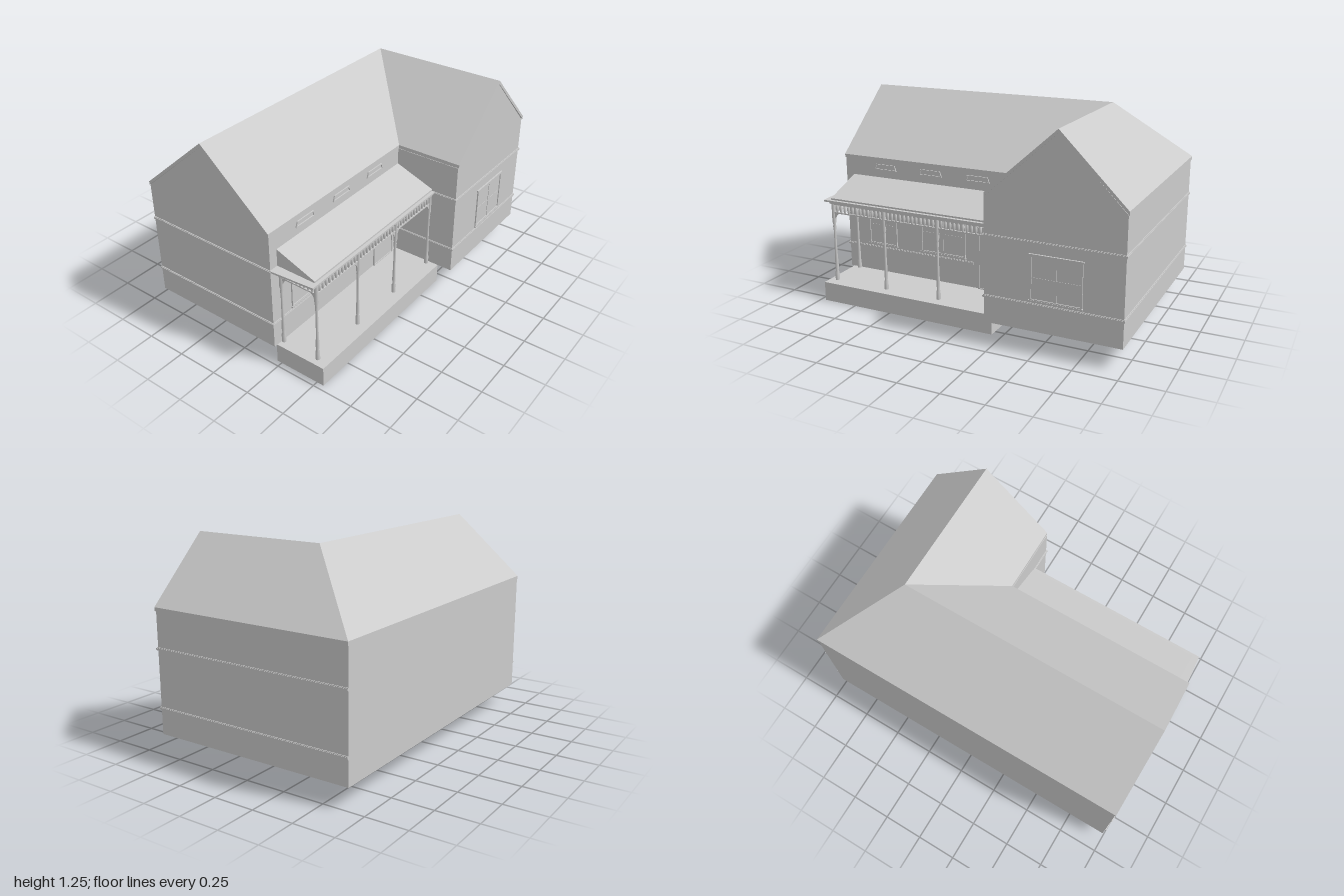
import * as THREE from 'three';

export function createModel() {
  const house = new THREE.Group();
  house.name = 'house';
  const mat = new THREE.MeshStandardMaterial({ color: 0xcccccc, side: THREE.DoubleSide });

  const add = (name, geo, parent = house) => {
    const mesh = new THREE.Mesh(geo, mat);
    mesh.name = name;
    parent.add(mesh);
    return mesh;
  };
  // Box given by its minimum and maximum corners
  const box = (name, x0, y0, z0, x1, y1, z1, parent) =>
    add(name, new THREE.BoxGeometry(x1 - x0, y1 - y0, z1 - z0)
      .translate((x0 + x1) / 2, (y0 + y1) / 2, (z0 + z1) / 2), parent);
  const shapeOf = (pts) => new THREE.Shape(pts.map(([x, y]) => new THREE.Vector2(x, y)));
  const extrude = (shape, depth) =>
    new THREE.ExtrudeGeometry(shape, { depth, bevelEnabled: false, curveSegments: 8 });
  // Plan outline in (x, z) raised from y0 to y1
  const plan = (name, pts, y0, y1) =>
    add(name, extrude(shapeOf(pts.map(([x, z]) => [x, -z])), y1 - y0)
      .rotateX(-Math.PI / 2).translate(0, y0, 0));
  // Four-cornered slab, corners counter-clockwise from above, thickened downward
  const slab = (name, top, t) => {
    const low = top.map(([x, y, z]) => [x, y - t, z]);
    const faces = [top, [...low].reverse()];
    top.forEach((p, i) => {
      const j = (i + 1) % 4;
      faces.push([low[i], low[j], top[j], p]);
    });
    const pos = faces.flatMap(([a, b, c, d]) => [a, b, c, a, c, d]).flat();
    const geo = new THREE.BufferGeometry();
    geo.setAttribute('position', new THREE.Float32BufferAttribute(pos, 3));
    geo.computeVertexNormals();
    return add(name, geo);
  };

  // Main dimensions
  const L = -0.648, W = 0.225, R = 0.638;
  const F = 0.99, B = -0.987, N = -0.187;
  const ridgeX = -0.21, ridgeZ = -0.61, base = 0.12, eave = 0.867, ridge = 1.246, t = 0.022;

  // L-shaped walls and the two gables
  plan('walls', [[L, F], [W, F], [W, N], [R, N], [R, B], [L, B]], base, eave - t);
  add('frontGable', extrude(shapeOf([[L, eave - t], [W, eave - t], [ridgeX, ridge - t]]), 0.02)
    .translate(0, 0, F - 0.02));
  add('sideGable', extrude(shapeOf([[-N, eave - t], [-B, eave - t], [-ridgeZ, ridge - t]]), 0.02)
    .rotateY(Math.PI / 2).translate(R - 0.02, 0, 0));

  // Mitred roof planes
  const x0 = -0.65, x1 = 0.228, x2 = 0.643, z0 = -0.993, z1 = 0.995, zn = -0.19;
  const peak = [ridgeX, ridge, ridgeZ];
  const valley = [x1, eave, zn], hip = [x0, eave, z0];
  slab('mainRoofRight', [[x0, eave, z1], [ridgeX, ridge, z1], peak, hip], t);
  slab('mainRoofLeft', [[ridgeX, ridge, z1], [x1, eave, z1], valley, peak], t);
  slab('wingRoofFront', [peak, valley, [x2, eave, zn], [x2, ridge, ridgeZ]], t);
  slab('wingRoofBack', [hip, peak, [x2, ridge, ridgeZ], [x2, eave, z0]], t);

  // Horizontal trim bands, each a slim board with a thinner lip
  const p = 0.008;
  for (const [y, name] of [[0.277, 'lowerBand'], [0.628, 'upperBand']]) {
    for (const [h, e] of [[0.009, p * 0.6], [0.0045, p]]) {
      const run = (a, b, c, d) => box(name, a, y - h, b, c, y + h, d);
      run(L, F, W + e, F + e);
      run(W, name === 'lowerBand' ? 0.09 : N, W + e, F + e);
      run(W, N, R + e, N + e);
      run(R, B - e, R + e, N + e);
      run(L, B - e, R + e, B);
    }
  }

  // Porch floor, ceiling with cornice, and lean-to roof
  box('porchFloor', 0.22, 0, N, 0.545, base, 0.968);
  plan('porchCornice', [[W, 0.995], [0.495, 0.975], [0.495, N], [W, N]], 0.627, 0.638);
  box('porchFascia', 0.462, 0.615, N, 0.485, 0.628, 0.94);
  box('porchFascia', W, 0.615, 0.915, 0.485, 0.628, 0.94);
  add('porchRoof', extrude(shapeOf([[W, 0.637], [0.475, 0.637], [0.475, 0.648], [W, 0.742]]), 0.935 - N)
    .translate(0, 0, N));

  // Turned posts
  const postProfile = [[0.013, 0.12], [0.013, 0.17], [0.008, 0.18], [0.011, 0.21], [0.008, 0.30],
    [0.007, 0.44], [0.010, 0.47], [0.007, 0.48], [0.012, 0.50], [0.012, 0.62]]
    .map(([r, y]) => new THREE.Vector2(r, y));
  const postX = 0.473, postZ = [0.922, 0.56, 0.197, -0.167];
  const post = (x, z) => add('porchPost', new THREE.LatheGeometry(postProfile, 10).translate(x, 0, z));
  postZ.forEach((z) => post(postX, z));
  post(0.235, postZ[0]);

  // Spindle frieze with corner brackets between two posts
  const bracketShape = new THREE.Shape();
  bracketShape.moveTo(0, 0);
  bracketShape.lineTo(0.034, 0);
  bracketShape.quadraticCurveTo(0.008, -0.008, 0, -0.045);
  bracketShape.closePath();
  const frieze = (x, z, length, turn) => {
    const g = new THREE.Group();
    g.name = 'porchFrieze';
    box('friezeRail', 0, 0.556, -0.006, length, 0.564, 0.006, g);
    box('friezeTopRail', 0, 0.61, -0.006, length, 0.62, 0.006, g);
    const n = Math.round(length / 0.027);
    for (let i = 1; i < n; i++) {
      const s = add('friezeSpindle', new THREE.LatheGeometry([[0.004, 0.56], [0.009, 0.578],
        [0.009, 0.598], [0.004, 0.612]].map(([r, y]) => new THREE.Vector2(r, y)), 6), g);
      s.position.x = i * length / n;
    }
    for (const side of [1, -1]) {
      const b = add('friezeBracket', extrude(bracketShape, 0.008).translate(0.01, 0.557, -0.004), g);
      b.rotation.y = side > 0 ? 0 : Math.PI;
      b.position.x = side > 0 ? 0 : length;
    }
    g.position.set(x, 0, z);
    g.rotation.y = turn;
    house.add(g);
  };
  for (let i = 0; i < 3; i++) frieze(postX, postZ[i], postZ[i] - postZ[i + 1], Math.PI / 2);
  frieze(0.235, postZ[0], postX - 0.235, 0);

  // Rectangular frame on a wall facing +x
  const frame = (name, x, za, zb, ya, yb, w, d) => {
    const s = shapeOf([[-zb, ya], [-za, ya], [-za, yb], [-zb, yb]]);
    s.holes.push(shapeOf([[-zb + w, ya + w], [-zb + w, yb - w], [-za - w, yb - w], [-za - w, ya + w]]));
    add(name, extrude(s, d).rotateY(Math.PI / 2).translate(x, 0, 0));
  };
  const sashWindow = (x, za, zb, double) => {
    const ya = 0.3, yb = 0.56, mid = (za + zb) / 2;
    frame('windowFrame', x, za, zb, ya, yb, 0.01, 0.008);
    box('windowHead', x, yb - 0.004, za - 0.007, x + 0.01, yb + 0.006, zb + 0.007);
    box('windowSill', x, ya - 0.006, za - 0.004, x + 0.01, ya + 0.004, zb + 0.004);
    box('windowPane', x, ya, za, x + 0.002, yb, zb);
    box('windowRail', x, 0.427, za, x + 0.004, 0.433, zb);
    if (double) box('windowMullion', x, ya, mid - 0.005, x + 0.005, yb, mid + 0.005);
  };
  sashWindow(W, 0.63, 0.835, false);
  sashWindow(W, 0.145, 0.455, true);
  sashWindow(R, -0.76, -0.46, true);

  // Door with glazed panel and knob
  frame('doorFrame', W, -0.142, 0.058, base - 0.004, 0.51, 0.01, 0.009);
  box('doorHead', W, 0.505, -0.148, W + 0.011, 0.516, 0.064);
  box('doorLeaf', W, base, -0.135, W + 0.004, 0.505, 0.05);
  frame('doorPanel', W, -0.097, 0.02, 0.305, 0.48, 0.007, 0.008);
  add('doorKnob', new THREE.SphereGeometry(0.007, 10, 8).translate(W + 0.01, 0.278, -0.102));

  // Small vents under the eave, tapering toward the top
  for (const z of [0.70, 0.38, 0.06]) {
    const s = shapeOf([[-0.08, 0.79], [0.08, 0.79], [0.068, 0.826], [-0.068, 0.826]]);
    s.holes.push(shapeOf([[-0.07, 0.796], [-0.061, 0.82], [0.061, 0.82], [0.07, 0.796]]));
    add('eaveVent', extrude(s, 0.007).rotateY(Math.PI / 2).translate(W, 0, z));
  }

  return house;
}
